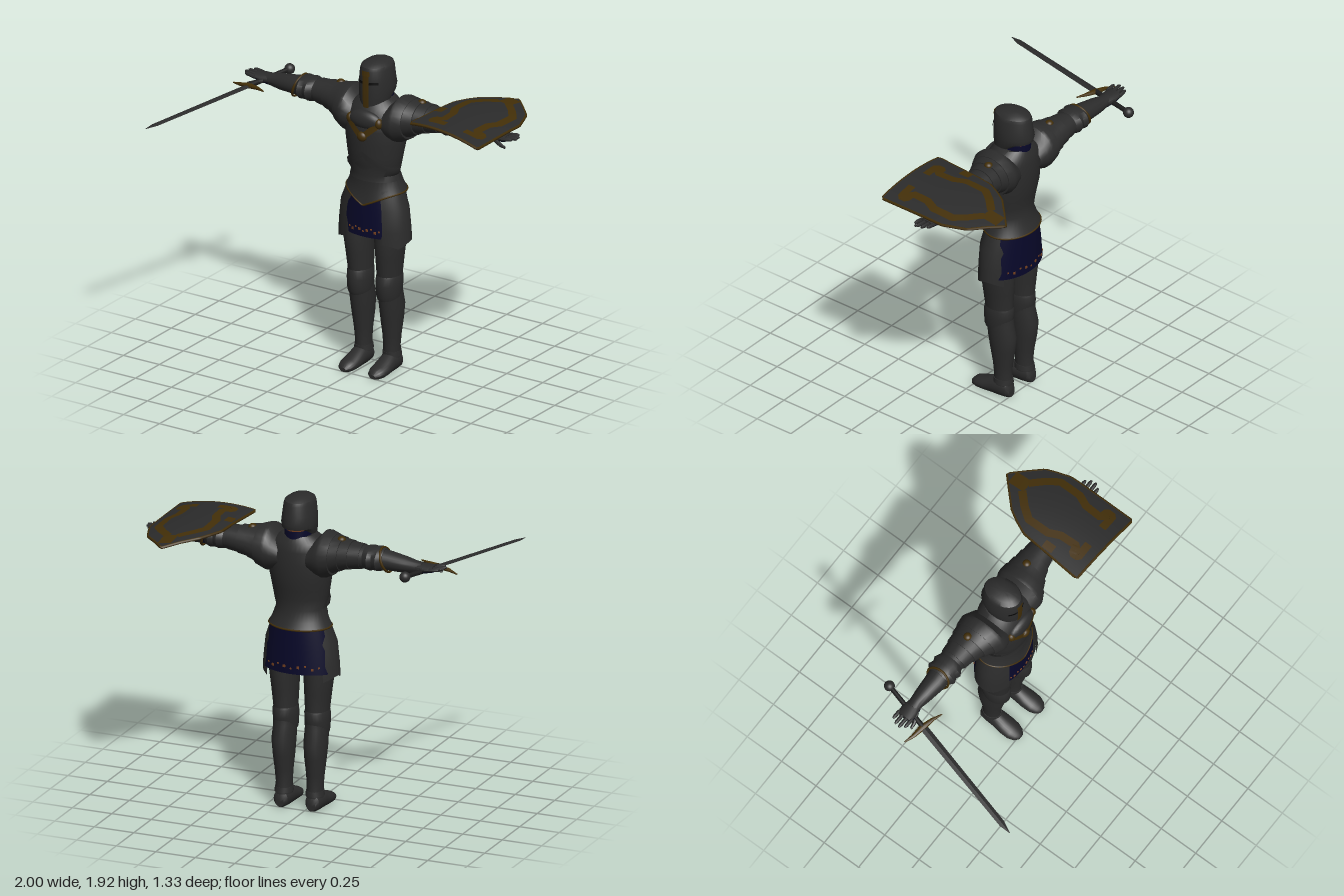
import * as THREE from 'three';
import { toCreasedNormals } from 'three/addons/utils/BufferGeometryUtils.js';

const RAD = Math.PI / 180;
const mat = (name, color) => new THREE.MeshStandardMaterial({ name, color, side: THREE.DoubleSide });

// Cross-sections: [position along axis, centre a, centre b, radius a, radius b].
// Axis order: y -> (x, z), x -> (z, y), z -> (y, x). Angles in degrees for open panels.
function loft(rings, { axis = 'y', n = 28, t0 = 0, t1 = 360, warp = null, crease = 35 } = {}) {
  const pos = [], idx = [], full = t1 - t0 === 360, cols = n + 1;
  const put = (a, along, b) => {
    const v = axis === 'y' ? new THREE.Vector3(a, along, b)
      : axis === 'x' ? new THREE.Vector3(along, b, a) : new THREE.Vector3(b, a, along);
    if (warp) warp(v);
    pos.push(v.x, v.y, v.z);
  };
  for (const [s, ca, cb, ra, rb] of rings) {
    for (let j = 0; j <= n; j++) {
      const t = (t0 + (t1 - t0) * (j === n && full ? 0 : j / n)) * RAD;
      put(ca + ra * Math.cos(t), s, cb + rb * Math.sin(t));
    }
  }
  for (let i = 0; i < rings.length - 1; i++) for (let j = 0; j < n; j++) {
    const a = i * cols + j, c = a + cols;
    idx.push(a, c, a + 1, a + 1, c, c + 1);
  }
  if (full) for (const end of [0, rings.length - 1]) {
    const [s, ca, cb] = rings[end], centre = pos.length / 3;
    put(ca, s, cb);
    for (let j = 0; j < n; j++) {
      const a = end * cols + j;
      if (end) idx.push(a, centre, a + 1); else idx.push(a, a + 1, centre);
    }
  }
  const g = new THREE.BufferGeometry();
  g.setAttribute('position', new THREE.Float32BufferAttribute(pos, 3));
  g.setIndex(idx);
  return toCreasedNormals(g, crease * RAD);
}

function mirrored(geo) {
  const g = geo.clone().scale(-1, 1, 1);
  const src = g.index ? Array.from(g.index.array) : Array.from({ length: g.attributes.position.count }, (_, i) => i);
  for (let i = 0; i < src.length; i += 3) [src[i + 1], src[i + 2]] = [src[i + 2], src[i + 1]];
  g.setIndex(src);
  return g;
}

const ball = (x, y, z, rx, ry = rx, rz = rx) => new THREE.SphereGeometry(1, 20, 14).scale(rx, ry, rz).translate(x, y, z);
const clamp = THREE.MathUtils.clamp;

export function createModel() {
  const steel = mat('steel', 0x2b2b2b), dark = mat('dark steel', 0x1d1d1d), gold = mat('old gold', 0x432f08);
  const navy = mat('navy cloth', 0x070729), black = mat('black', 0x060606), skin = mat('skin', 0x74401f);
  const model = new THREE.Group(), body = new THREE.Group();
  model.name = 'knight';
  body.name = 'body';
  body.position.x = 0.055;
  model.add(body);
  const add = (name, geo, m, parent = body) => {
    const mesh = new THREE.Mesh(geo, m);
    mesh.name = name;
    parent.add(mesh);
  };
  const pair = (name, geo, m) => {
    add(name + 'Left', geo, m);
    add(name + 'Right', mirrored(geo), m);
  };

  // Cuirass with a flared hem that dips at the front
  const dip = (x, z) => 0.075 * clamp((z + 0.17) / 0.13, 0, 1) * (1 - Math.min(1, Math.abs(x) / 0.19));
  const hem = v => { if (v.y < 1.2) v.y -= dip(v.x, v.z); };
  add('cuirass', loft([[1.13, 0, -0.187, 0.19, 0.148], [1.17, 0, -0.183, 0.17, 0.134], [1.235, 0, -0.18, 0.148, 0.118],
    [1.3, 0, -0.172, 0.166, 0.13], [1.36, 0, -0.175, 0.176, 0.138], [1.43, 0, -0.18, 0.188, 0.146], [1.52, 0, -0.18, 0.198, 0.15],
    [1.6, 0, -0.185, 0.188, 0.143], [1.65, 0, -0.195, 0.16, 0.125], [1.69, 0, -0.2, 0.1, 0.1]], { n: 40, warp: hem }), steel);
  add('bellyPlate', loft([[1.2, 0, -0.18, 0.162, 0.127], [1.235, 0, -0.18, 0.153, 0.123], [1.3, 0, -0.172, 0.171, 0.135],
    [1.33, 0, -0.172, 0.175, 0.139]], { t0: 0, t1: 180, warp: v => { if (v.y > 1.28) v.y += 0.06 * (1 - Math.abs(v.x) / 0.1); } }), steel);
  const rim = Array.from({ length: 40 }, (_, i) => {
    const t = i * 9 * RAD, x = 0.188 * Math.cos(t), z = -0.187 + 0.147 * Math.sin(t);
    return new THREE.Vector3(x, 1.128 - dip(x, z), z);
  });
  add('hemTrim', new THREE.TubeGeometry(new THREE.CatmullRomCurve3(rim, true), 80, 0.006, 6, true), gold);

  // Gorget and its gold collar
  add('gorget', ball(0, 1.58, -0.065, 0.11, 0.06, 0.045), steel);
  add('goldCollar', loft([[0, 0, -0.18, 0.205, 0.158], [0.05, 0, -0.18, 0.2, 0.155]],
    { t0: 57, t1: 123, warp: v => { v.y += 1.455 + 0.9 * Math.abs(v.x); } }), gold);
  add('collarBoss', ball(0, 1.485, -0.03, 0.032, 0.03, 0.022), gold);
  pair('collarStud', ball(0.098, 1.575, -0.06, 0.024, 0.032, 0.026), gold);
  add('neckRing', loft([[1.64, 0, -0.2, 0.105, 0.11], [1.69, 0, -0.205, 0.085, 0.095]]), steel);
  add('neckCloth', loft([[1.67, 0, -0.212, 0.083, 0.095], [1.722, 0, -0.215, 0.078, 0.092]]), navy);
  add('neck', loft([[1.7, 0, -0.22, 0.068, 0.082], [1.76, 0, -0.22, 0.068, 0.088]]), skin);

  // Great helm, with its lower edge higher at the back
  const helmRings = (o = 0) => [[1.635, 0, -0.19, 0.085 + o, 0.113 + o], [1.7, 0, -0.197, 0.099 + o, 0.125 + o],
    [1.765, 0, -0.2, 0.102 + o, 0.13 + o], [1.81, 0, -0.195, 0.099 + o, 0.124 + o], [1.875, 0, -0.193, 0.09 + o, 0.122 + o]];
  const helmEdge = v => { if (v.y < 1.71) v.y += (1.74 - v.y) * 0.9 * clamp((-v.z - 0.12) / 0.15, 0, 1); };
  add('helmet', loft([...helmRings(), [1.895, 0, -0.193, 0.083, 0.115], [1.912, 0, -0.193, 0.06, 0.085],
    [1.92, 0, -0.193, 0.025, 0.04]], { n: 36, warp: helmEdge }), steel);
  add('helmetNasal', loft(helmRings(0.005), { t0: 78.5, t1: 101.5, n: 6 }), gold);
  add('helmetBrow', loft([[1.85, 0, -0.194, 0.1, 0.13], [1.88, 0, -0.193, 0.095, 0.127]], { t0: 75, t1: 105, n: 8 }), gold);
  pair('eyeSlit', loft([[1.797, 0, -0.195, 0.105, 0.129], [1.813, 0, -0.195, 0.104, 0.128]], { t0: 48, t1: 78, n: 8 }), black);

  // Overlapping shoulder plates, curving in over the chest
  pair('shoulderPlate', loft([[0.09, -0.195, 1.56, 0.13, 0.085], [0.135, -0.197, 1.57, 0.148, 0.118], [0.165, -0.2, 1.58, 0.156, 0.14],
    [0.185, -0.202, 1.582, 0.156, 0.14], [0.235, -0.212, 1.588, 0.14, 0.12], [0.235, -0.212, 1.593, 0.133, 0.112],
    [0.29, -0.222, 1.602, 0.118, 0.098], [0.29, -0.222, 1.602, 0.111, 0.092], [0.35, -0.23, 1.607, 0.1, 0.085],
    [0.35, -0.23, 1.607, 0.094, 0.08], [0.42, -0.234, 1.61, 0.084, 0.073]], { axis: 'x' }), steel);
  pair('shoulderBoss', ball(0.282, 1.692, -0.235, 0.025, 0.02, 0.025), gold);

  // Arms, elbow guards and gauntlets
  pair('arm', loft([[0.36, -0.235, 1.608, 0.084, 0.074], [0.46, -0.236, 1.61, 0.075, 0.066], [0.53, -0.236, 1.612, 0.068, 0.062],
    [0.6, -0.235, 1.607, 0.064, 0.056], [0.7, -0.242, 1.6, 0.052, 0.048], [0.76, -0.246, 1.597, 0.042, 0.038],
    [0.8, -0.247, 1.597, 0.042, 0.034]], { axis: 'x' }), steel);
  pair('elbowGuard', loft([[0.44, -0.236, 1.611, 0.076, 0.068], [0.475, -0.235, 1.611, 0.095, 0.074], [0.5, -0.235, 1.612, 0.084, 0.071],
    [0.53, -0.235, 1.612, 0.096, 0.072], [0.56, -0.235, 1.61, 0.07, 0.063]], { axis: 'x' }), steel);
  pair('elbowTrim', new THREE.TorusGeometry(1, 0.09, 6, 32).rotateY(Math.PI / 2).scale(0.09, 0.074, 0.074)
    .rotateZ(0.35).translate(0.565, 1.611, -0.235), gold);
  const handRings = (o = 0) => [[0.77, -0.247, 1.597, 0.042 + o, 0.033 + o], [0.82, -0.248, 1.6, 0.052 + o, 0.027 + o],
    [0.875, -0.247, 1.605, 0.05 + o, 0.018 + o]];
  pair('hand', loft(handRings(), { axis: 'x', n: 16 }), steel);
  pair('palm', loft(handRings(0.003), { axis: 'x', n: 12, t0: 195, t1: 345 }), navy);
  [-0.203, -0.232, -0.262, -0.291].forEach((z, i) => {
    const end = [0.925, 0.945, 0.94, 0.92][i];
    pair('finger' + (i + 1), loft([[0.86, z, 1.605, 0.012, 0.012], [end - 0.015, z, 1.612, 0.011, 0.011],
      [end, z, 1.613, 0.006, 0.006]], { axis: 'x', n: 8 }), steel);
  });
  pair('thumb', loft([[0.8, -0.21, 1.592, 0.014, 0.014], [0.86, -0.185, 1.575, 0.013, 0.013], [0.895, -0.18, 1.567, 0.007, 0.007]],
    { axis: 'x', n: 8 }), steel);

  // Hips, cloth skirt and side plates
  add('hips', loft([[0.9, 0, -0.18, 0.14, 0.09], [1.0, 0, -0.18, 0.175, 0.105], [1.18, 0, -0.18, 0.16, 0.115]]), dark);
  add('frontCloth', loft([[0.855, 0, -0.17, 0.215, 0.127], [1.0, 0, -0.172, 0.205, 0.122], [1.14, 0, -0.178, 0.17, 0.112]],
    { t0: 48, t1: 132 }), navy);
  add('backCloth', loft([[0.855, 0, -0.17, 0.23, 0.155], [1.0, 0, -0.17, 0.215, 0.152], [1.15, 0, -0.18, 0.18, 0.135]],
    { t0: 205, t1: 335 }), navy);
  pair('hipPlate', loft([[0.8, 0, -0.17, 0.238, 0.143], [0.9, 0, -0.17, 0.234, 0.143], [1.03, 0, -0.17, 0.22, 0.138],
    [1.15, 0, -0.178, 0.176, 0.125]], { t0: -42, t1: 57, n: 24, warp: v => {
    if (v.y < 0.85) v.y += 0.035 * Math.abs(Math.sin((v.z + 0.1) * 18));
  } }), steel);
  // Small stitched ornaments on the cloth
  for (const side of [1, -1]) for (let i = -4; i <= 4; i++) {
    const t = (90 + i * (side > 0 ? 7 : 11)) * RAD, rx = side > 0 ? 0.216 : 0.229, rz = side > 0 ? 0.129 : 0.157;
    const x = rx * Math.cos(t), slope = -side * rz * Math.cos(t) / (rx * Math.sin(t));
    add('clothOrnament', new THREE.BoxGeometry(0.01 + 0.004 * (i & 1), 0.008 + 0.006 * (Math.abs(i) % 2), 0.005)
      .rotateY(-Math.atan(slope)).translate(x, 0.89 + 0.009 * (Math.abs(i) % 3), -0.17 + side * rz * Math.sin(t)), skin);
  }

  // Legs, knee guards and shoes
  pair('leg', loft([[0.08, 0.098, -0.2, 0.05, 0.058], [0.15, 0.098, -0.197, 0.048, 0.056], [0.22, 0.099, -0.197, 0.053, 0.062],
    [0.32, 0.1, -0.197, 0.063, 0.08], [0.41, 0.101, -0.194, 0.069, 0.092], [0.5, 0.1, -0.178, 0.067, 0.086],
    [0.6, 0.1, -0.17, 0.069, 0.088], [0.72, 0.104, -0.168, 0.078, 0.1], [0.82, 0.108, -0.166, 0.087, 0.109],
    [0.95, 0.106, -0.172, 0.092, 0.1], [1.1, 0.09, -0.175, 0.085, 0.095]]), steel);
  pair('kneeGuard', loft([[0.475, 0.1, -0.17, 0.067, 0.084], [0.5, 0.1, -0.168, 0.071, 0.092], [0.55, 0.1, -0.168, 0.073, 0.097],
    [0.595, 0.1, -0.17, 0.073, 0.094], [0.615, 0.1, -0.17, 0.068, 0.086]], { warp: v => { if (v.y < 0.51) v.y -= 0.25 * (v.z + 0.17); } }), steel);
  pair('ankleBand', loft([[0.09, 0.098, -0.2, 0.056, 0.062], [0.12, 0.098, -0.198, 0.052, 0.06]]), steel);
  pair('shoe', loft([[-0.262, 0.035, 0.1, 0.03, 0.026], [-0.245, 0.05, 0.1, 0.052, 0.044], [-0.2, 0.055, 0.1, 0.062, 0.051],
    [-0.15, 0.052, 0.1, 0.06, 0.053], [-0.09, 0.038, 0.102, 0.044, 0.058], [-0.04, 0.03, 0.103, 0.036, 0.056],
    [-0.005, 0.024, 0.103, 0.027, 0.043], [0.015, 0.018, 0.102, 0.012, 0.02]], { axis: 'z', warp: v => { v.y = Math.max(0, v.y); } }), steel);

  // Sword held in the right hand, each section centred on one sloping line
  const sword = new THREE.Group();
  sword.name = 'sword';
  model.add(sword);
  const onLine = (z, ry, rx) => [z, 1.597 - 0.0643 * (z + 0.433), -0.715 - 0.2574 * (z + 0.433), ry, rx];
  add('blade', loft([onLine(-0.13, 0.007, 0.024), onLine(0.585, 0.005, 0.02), onLine(0.655, 0.001, 0.002)], { axis: 'z', n: 4, crease: 5 }), steel, sword);
  add('grip', loft([onLine(-0.42, 0.014, 0.014), onLine(-0.13, 0.016, 0.016)], { axis: 'z', n: 14 }), dark, sword);
  add('pommel', ball(-0.715, 1.597, -0.433, 0.032), steel, sword);
  add('crossguard', loft([[-0.925, -0.162, 1.556, 0.004, 0.004], [-0.87, -0.142, 1.566, 0.012, 0.01], [-0.795, -0.13, 1.577, 0.02, 0.016],
    [-0.725, -0.112, 1.582, 0.012, 0.01], [-0.668, -0.088, 1.584, 0.004, 0.004]], { axis: 'x', n: 10 }), gold, sword);

  // Curved shield strapped above the left forearm
  const shield = new THREE.Group();
  shield.name = 'shield';
  model.add(shield);
  const surf = (x, z) => 1.7 - 0.05 * ((x - 0.6) / 0.33) ** 2 - 0.04 * (Math.max(0, -z - 0.2) / 0.47) ** 2;
  const rows = [[-0.668, 0.721, 0.723], [-0.59, 0.64, 0.798], [-0.508, 0.556, 0.877], [-0.44, 0.516, 0.903], [-0.36, 0.479, 0.93],
    [-0.26, 0.47, 0.931], [-0.16, 0.462, 0.931], [-0.05, 0.452, 0.931], [0.048, 0.444, 0.931]];
  const skew = (x, z) => z + (x - 0.444) * 0.066 * clamp((z + 0.36) / 0.4, 0, 1);
  const grid = (lists, flip) => {
    const pos = [], idx = [], w = lists[0].length;
    lists.flat().forEach(p => pos.push(p.x, p.y, p.z));
    for (let i = 0; i < lists.length - 1; i++) for (let j = 0; j < w - 1; j++) {
      const a = i * w + j, c = a + w;
      idx.push(...(flip ? [a, a + 1, c, a + 1, c + 1, c] : [a, c, a + 1, a + 1, c, c + 1]));
    }
    const g = new THREE.BufferGeometry();
    g.setAttribute('position', new THREE.Float32BufferAttribute(pos, 3));
    g.setIndex(idx);
    g.computeVertexNormals();
    return g;
  };
  const sheet = drop => rows.map(([z, l, r]) => Array.from({ length: 13 }, (_, j) => {
    const x = l + (r - l) * j / 12, zz = skew(x, z);
    return new THREE.Vector3(x, surf(x, zz) - drop, zz);
  }));
  const top = sheet(0);
  add('shieldFace', grid(top, false), steel, shield);
  add('shieldBack', grid(sheet(0.014), true), dark, shield);
  const edge = [...top.map(r => r[0]), ...top[8].slice(1), ...top.map(r => r[12]).reverse().slice(1)]
    .map(p => p.clone().setY(p.y - 0.007));
  const rimPath = new THREE.CurvePath();
  edge.forEach((p, i) => rimPath.add(new THREE.LineCurve3(p, edge[(i + 1) % edge.length])));
  add('shieldRim', new THREE.TubeGeometry(rimPath, 120, 0.009, 6, true), gold, shield);

  // Gold scrolled band and clasp plates on the shield face
  const ribbon = (name, path, s, half) => {
    const strip = [];
    for (let i = 0; i < path.length - 1; i++) {
      const [ax, az] = path[i], [bx, bz] = path[i + 1], len = Math.hypot(bx - ax, bz - az);
      for (let k = 0; k <= 4; k++) {
        const f = k / 4, nx = (bz - az) / len * half, nz = -(bx - ax) / len * half;
        strip.push([-1, 1].map(e => {
          const x = 0.712 + s * (ax + (bx - ax) * f + e * nx), z = az + (bz - az) * f + e * nz;
          return new THREE.Vector3(x, surf(x, z) + 0.004, z);
        }));
      }
    }
    add(name, grid(strip, s > 0), gold, shield);
  };
  const band = [[0.03, -0.53], [0.1, -0.46], [0.152, -0.39], [0.152, -0.25], [0.12, -0.18], [0.115, -0.07], [0.165, -0.06], [0.165, -0.02], [0.065, -0.02]];
  for (const s of [1, -1]) ribbon('shieldBand', band, s, 0.024);
  ribbon('shieldTipPlate', [[0.01, -0.63], [0.01, -0.52]], 1, 0.042);
  ribbon('shieldClasp', [[0.24, -0.195], [0.19, -0.195]], -1, 0.035);
  for (const x of [0.62, 0.77]) {
    add('shieldStrap', loft([[x - 0.02, -0.238, 1.613, 0.07, 0.06], [x + 0.02, -0.24, 1.612, 0.066, 0.058]], { axis: 'x' }), navy, shield);
  }
  return model;
}
